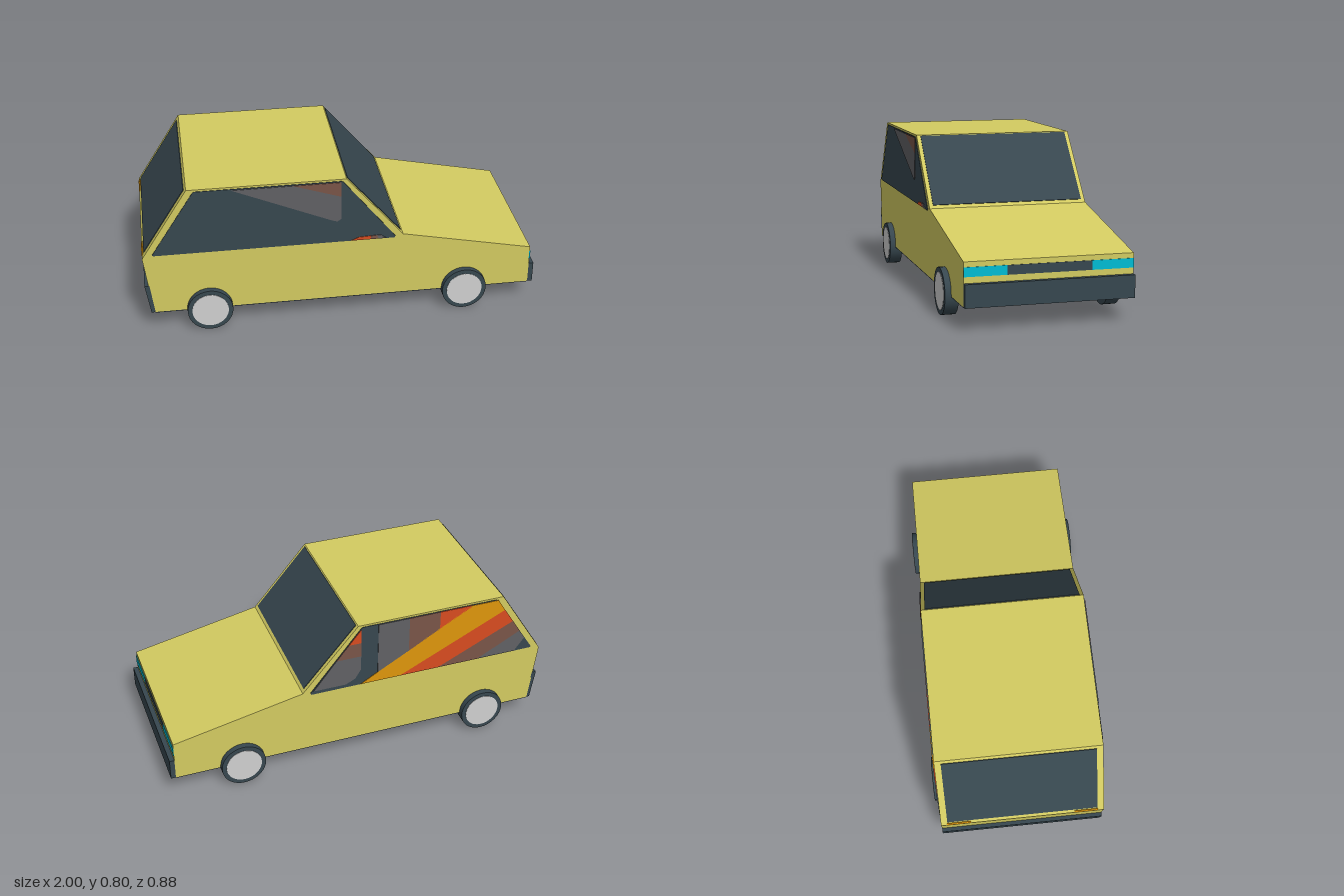
import * as THREE from 'three';

const paint = (name, color) => {
  const m = new THREE.MeshStandardMaterial({ color });
  m.name = name;
  return m;
};

export function createModel() {
  const car = new THREE.Group();
  car.name = 'hatchbackCar';

  const yellow = paint('bodyYellow', 0xd3cb61);
  const dark = paint('darkSlate', 0x37474f);
  const silver = paint('hubSilver', 0xd0d0d0);
  const cyan = paint('lampCyan', 0x00bcd4);
  const orange = paint('stripeOrange', 0xde960c);
  const red = paint('stripeRed', 0xd84c20);
  const brown = paint('stripeBrown', 0x795548);
  const grey = paint('stripeGrey', 0x616164);

  const HALF = 0.41; // half the body width

  const add = (name, geometry, material, x = 0, y = 0, z = 0) => {
    const mesh = new THREE.Mesh(geometry, material);
    mesh.name = name;
    mesh.position.set(x, y, z);
    car.add(mesh);
    return mesh;
  };

  // Side outline in x, y pushed out along z from z0
  const extrude = (name, points, z0, depth, material) => {
    const shape = new THREE.Shape(points.map(([x, y]) => new THREE.Vector2(x, y)));
    const g = new THREE.ExtrudeGeometry(shape, { depth, bevelEnabled: false });
    return add(name, g, material, 0, 0, z0);
  };

  // Thin plate lying on the +z or -z flank; layer lifts paint above glass
  const flankPlate = (name, points, side, layer, material) => {
    const depth = 0.003 * layer;
    extrude(name, points, side > 0 ? HALF : -HALF - depth, depth, material);
  };

  // Thin plate across the car, running from p to q in the side outline
  const slopePlate = (name, p, q, zMid, width, material) => {
    const dx = q[0] - p[0], dy = q[1] - p[1];
    const mesh = add(name, new THREE.BoxGeometry(Math.hypot(dx, dy), 0.006, width), material,
      (p[0] + q[0]) / 2, (p[1] + q[1]) / 2, zMid);
    mesh.rotation.z = Math.atan2(dy, dx);
  };

  // Body shell and floor
  extrude('body', [
    [-0.96, 0.11], [0.975, 0.11], [0.975, 0.32], [0.305, 0.46],
    [0.015, 0.8], [-0.765, 0.8], [-1, 0.43],
  ], -HALF, 2 * HALF, yellow);
  add('floor', new THREE.BoxGeometry(1.93, 0.004, 2 * HALF), dark, 0.008, 0.109, 0);

  // Bumpers
  add('frontBumper', new THREE.BoxGeometry(0.025, 0.11, 2 * HALF), dark, 0.9875, 0.165, 0);
  extrude('rearBumper', [[-0.975, 0.11], [-0.955, 0.11], [-0.975, 0.27], [-1, 0.27]],
    -HALF, 2 * HALF, dark);

  // Grille and headlights
  add('grille', new THREE.BoxGeometry(0.006, 0.045, 0.41), dark, 0.975, 0.2725, 0);
  for (const s of [1, -1]) {
    add('headlight', new THREE.BoxGeometry(0.006, 0.045, 0.205), cyan, 0.975, 0.2725, s * 0.3075);
    slopePlate('rearLamp', [-0.999, 0.432], [-0.993, 0.442], s * 0.32, 0.12, orange);
  }

  // Windscreen and rear window
  slopePlate('windscreen', [0.02, 0.795], [0.293, 0.475], 0, 0.78, dark);
  slopePlate('rearWindow', [-0.988, 0.45], [-0.775, 0.785], 0, 0.755, dark);

  // Side windows
  const glass = [[-0.95, 0.45], [-0.945, 0.445], [0.26, 0.445], [0.265, 0.455],
    [0.0, 0.785], [-0.01, 0.79], [-0.725, 0.79], [-0.735, 0.785]];
  for (const s of [1, -1]) flankPlate('sideWindow', glass, s, 1, dark);

  // Colour patches on the +z window
  flankPlate('greyPatch', [[-0.55, 0.785], [-0.06, 0.575], [-0.03, 0.565], [-0.01, 0.58],
    [-0.01, 0.705], [-0.25, 0.785]], 1, 2, grey);
  flankPlate('brownPatch', [[-0.25, 0.785], [-0.01, 0.705], [-0.01, 0.785]], 1, 2, brown);
  flankPlate('redPatch', [[0.04, 0.447], [0.14, 0.447], [0.14, 0.466], [0.08, 0.464]], 1, 2, red);
  flankPlate('brownPatch', [[0.14, 0.447], [0.18, 0.447], [0.17, 0.468], [0.14, 0.466]], 1, 2, brown);
  flankPlate('greyPatch', [[0.18, 0.447], [0.22, 0.447], [0.19, 0.468], [0.17, 0.468]], 1, 2, grey);

  // Stripes on the -z window: upright at the front, sweeping down to the rear
  const stripes = [
    ['uprightGrey', grey, [[-0.09, 0.5], [-0.255, 0.592], [-0.255, 0.788], [-0.09, 0.788]]],
    ['uprightBrown', brown, [[-0.255, 0.592], [-0.42, 0.685], [-0.42, 0.788], [-0.255, 0.788]]],
    ['uprightRed', red, [[-0.42, 0.685], [-0.59, 0.78], [-0.59, 0.788], [-0.42, 0.788]]],
    ['sweepOrange', orange, [[0, 0.447], [-0.21, 0.447], [-0.778, 0.72], [-0.737, 0.787],
      [-0.59, 0.787], [-0.09, 0.5]]],
    ['sweepRed', red, [[-0.21, 0.447], [-0.42, 0.447], [-0.829, 0.64], [-0.778, 0.72]]],
    ['sweepBrown', brown, [[-0.42, 0.447], [-0.64, 0.447], [-0.873, 0.57], [-0.829, 0.64]]],
    ['sweepGrey', grey, [[-0.64, 0.447], [-0.85, 0.447], [-0.904, 0.52], [-0.873, 0.57]]],
    ['frontRed', red, [[0, 0.78], [0, 0.7], [0.065, 0.7]]],
    ['frontBrown', brown, [[0, 0.7], [0, 0.62], [0.13, 0.62], [0.065, 0.7]]],
    ['frontGrey', grey, [[0, 0.62], [0, 0.54], [0.03, 0.49], [0.08, 0.465], [0.25, 0.465],
      [0.13, 0.62]]],
  ];
  for (const [name, material, points] of stripes) flankPlate(name, points, -1, 2, material);

  // Wheels with flat hub discs
  const tyre = new THREE.CylinderGeometry(0.115, 0.115, 0.067, 32).rotateX(Math.PI / 2);
  const hub = new THREE.CylinderGeometry(0.092, 0.092, 0.006, 32).rotateX(Math.PI / 2);
  for (const x of [-0.68, 0.63]) {
    for (const s of [1, -1]) {
      add('tyre', tyre, dark, x, 0.115, s * 0.4065);
      add('hubCap', hub, silver, x, 0.115, s * 0.439);
    }
  }

  return car;
}
